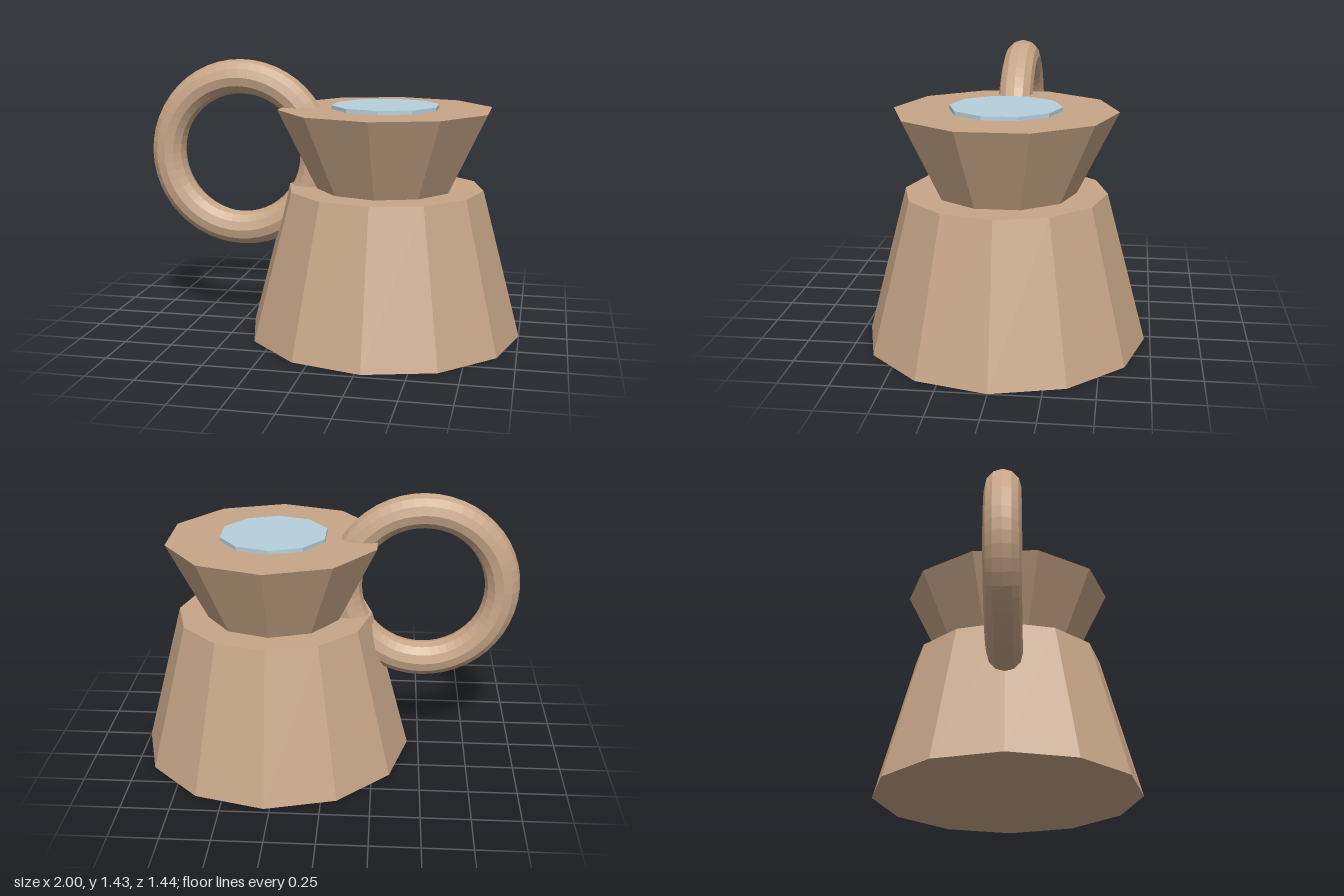
import * as THREE from 'three';

export function createModel() {
  const group = new THREE.Group();
  const clay = new THREE.MeshStandardMaterial({ color: 0xc8a688, flatShading: true });
  const water = new THREE.MeshStandardMaterial({ color: 0xb6d0dc, flatShading: true });
  const bodyX = 0.28;

  // Faceted, tapered drum standing between two heights on the body's axis
  function drum(name, topRadius, bottomRadius, y0, y1, sides, material) {
    const geometry = new THREE.CylinderGeometry(topRadius, bottomRadius, y1 - y0, sides);
    const mesh = new THREE.Mesh(geometry, material);
    mesh.name = name;
    mesh.position.set(bodyX, (y0 + y1) / 2, 0);
    group.add(mesh);
  }

  drum('body', 0.515, 0.72, 0, 0.775, 12, clay);
  drum('flaredNeck', 0.565, 0.36, 0.775, 1.19, 10, clay);
  drum('liquid', 0.284, 0.284, 1.17, 1.21, 10, water);

  // Ring handle, sunk into the body and neck
  const handle = new THREE.Mesh(new THREE.TorusGeometry(0.411, 0.091, 12, 48), clay);
  handle.name = 'handle';
  handle.position.set(-0.498, 0.932, 0);
  group.add(handle);

  return group;
}
